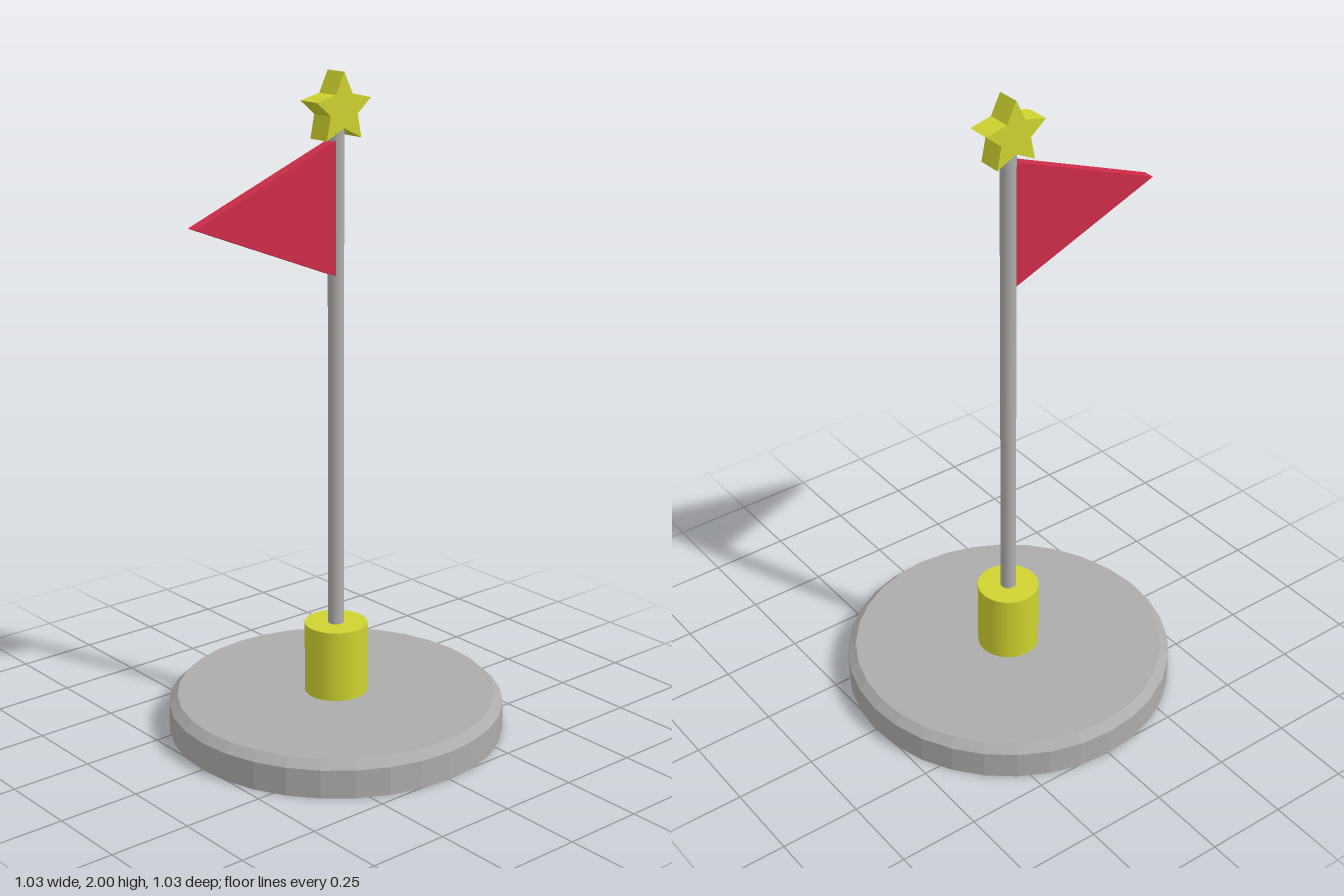
import * as THREE from 'three';

const paint = (name, color) => {
  const m = new THREE.MeshStandardMaterial({ color });
  m.name = name;
  return m;
};

export function createModel() {
  const grey = paint('grey metal', 0xacacac);
  const yellow = paint('yellow', 0xced22e);
  const red = paint('red cloth', 0xce2c48);

  const model = new THREE.Group();
  model.name = 'pennantStand';
  const add = (name, geometry, material, y = 0) => {
    const mesh = new THREE.Mesh(geometry, material);
    mesh.name = name;
    mesh.position.y = y;
    model.add(mesh);
  };
  // Upright cylinder between two heights
  const column = (r, y0, y1, sides) =>
    new THREE.CylinderGeometry(r, r, y1 - y0, sides).translate(0, (y0 + y1) / 2, 0);
  // Flat outline given thickness, centred on z = 0
  const plate = (points, depth) =>
    new THREE.ExtrudeGeometry(new THREE.Shape(points.map(([x, y]) => new THREE.Vector2(x, y))),
      { depth, bevelEnabled: false }).translate(0, 0, -depth / 2);

  // Faceted round base with a chamfered top edge
  const profile = [[0, 0], [0.513, 0], [0.513, 0.087], [0.487, 0.112], [0, 0.112]]
    .map(([x, y]) => new THREE.Vector2(x, y));
  const base = new THREE.LatheGeometry(profile, 32).toNonIndexed();
  base.computeVertexNormals();
  add('base', base, grey);

  // Collar and pole
  add('collar', column(0.096, 0.11, 0.333, 32), yellow);
  add('pole', column(0.024, 0.11, 1.84, 24), grey);

  // Triangular pennant pointing to the model's right
  add('flag', plate([[0, 1.812], [-0.512, 1.61], [0, 1.408]], 0.036), red);

  // Five-pointed star finial, mirrored from its right half
  const half = [[0.031, 1.937], [0.1, 1.921], [0.05, 1.879], [0.064, 1.81]];
  const mirrored = half.map(([x, y]) => [-x, y]).reverse();
  add('star', plate([[0, 2], ...half, [0, 1.842], ...mirrored], 0.073), yellow);

  return model;
}
